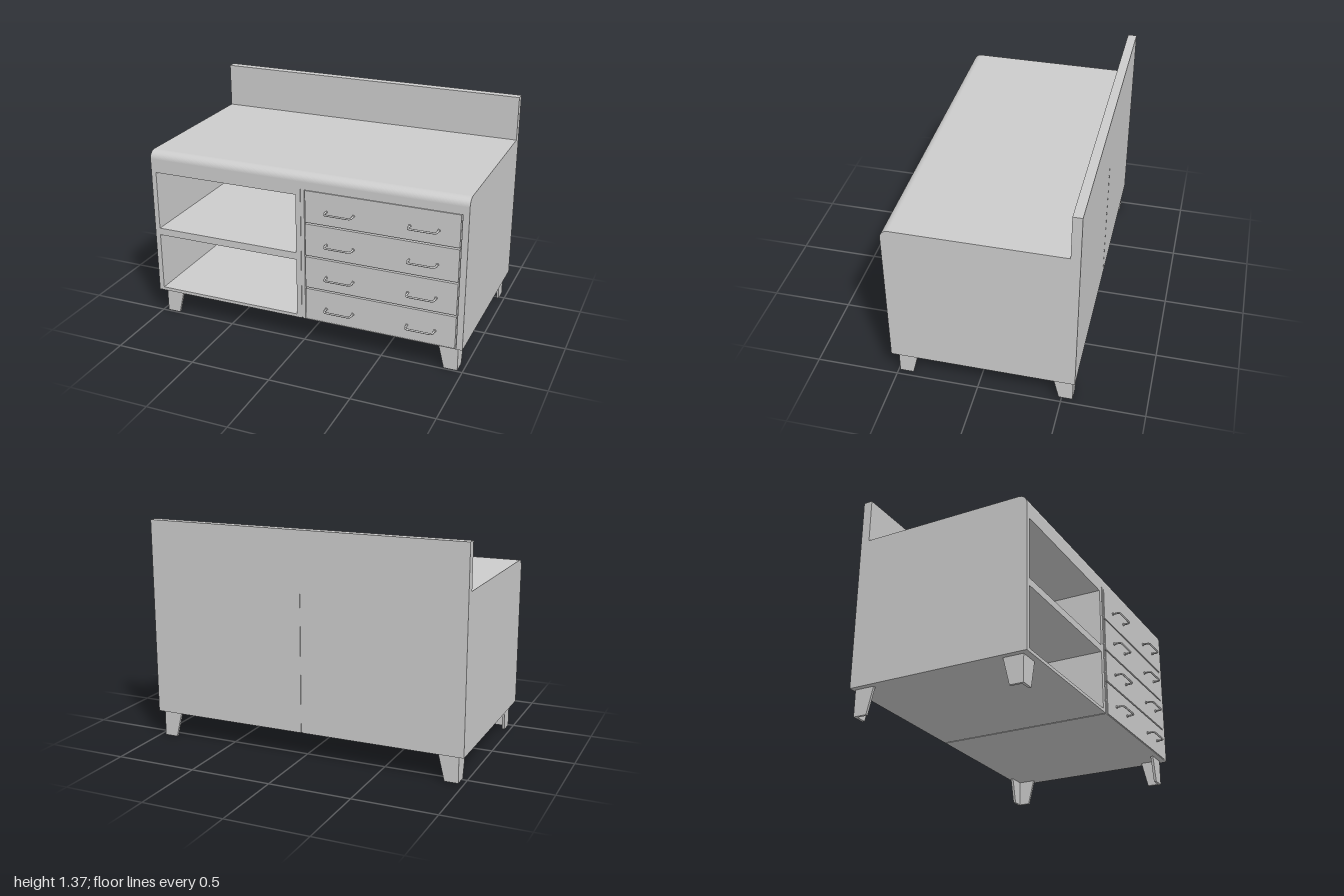
import * as THREE from 'three';

const FRONT = 0.525, BACK = -0.58, BASE = 0.16, DECK = 1.0;
const material = new THREE.MeshStandardMaterial({ color: 0xcccccc });

function add(parent, name, geometry, x = 0, y = 0, z = 0) {
  const mesh = new THREE.Mesh(geometry, material);
  mesh.name = name;
  mesh.position.set(x, y, z);
  parent.add(mesh);
  return mesh;
}

// Box given by its extents
function addBox(parent, name, x0, x1, y0, y1, z0, z1) {
  return add(parent, name, new THREE.BoxGeometry(x1 - x0, y1 - y0, z1 - z0),
    (x0 + x1) / 2, (y0 + y1) / 2, (z0 + z1) / 2);
}

function rectangle(path, x0, x1, y0, y1) {
  return path.moveTo(x0, y0).lineTo(x1, y0).lineTo(x1, y1).lineTo(x0, y1).closePath();
}

function extrude(shape, depth) {
  return new THREE.ExtrudeGeometry(shape, { depth, bevelEnabled: false, curveSegments: 8 });
}

// Worktop and upright back board share one side profile, swept along x
function worktopGeometry() {
  const r = 0.05, top = 1.095;
  const profile = new THREE.Shape();
  profile.moveTo(-FRONT, DECK);
  profile.lineTo(-BACK, DECK);
  profile.lineTo(-BACK, 1.37);
  profile.lineTo(0.525, 1.37);
  profile.lineTo(0.525, top);
  profile.lineTo(-FRONT + r, top);
  profile.absarc(-FRONT + r, top - r, r, Math.PI / 2, Math.PI, false);
  profile.closePath();
  return extrude(profile, 2).rotateY(Math.PI / 2).translate(-1, 0, 0);
}

// Left half: open cabinet with two compartments
function shelfCabinet() {
  const group = new THREE.Group();
  group.name = 'shelfCabinet';
  const frame = rectangle(new THREE.Shape(), -1, -0.004, BASE, DECK);
  for (const [y0, y1] of [[0.18, 0.545], [0.59, 0.96]]) {
    frame.holes.push(rectangle(new THREE.Path(), -0.968, -0.035, y0, y1));
  }
  add(group, 'shelfFrame', extrude(frame, FRONT - BACK - 0.02), 0, 0, BACK + 0.02);
  addBox(group, 'shelfBackPanel', -1, -0.004, BASE, DECK, BACK, BACK + 0.02);
  return group;
}

// Bow handle: rounded bar standing off the drawer, with a foot at each end
function addHandle(parent, x, y) {
  const handle = new THREE.Group();
  handle.name = 'handle';
  const w = 0.084, reach = 0.047, r = 0.02;
  const v = (px, pz) => new THREE.Vector3(px, 0, pz);
  const path = new THREE.CurvePath();
  path.add(new THREE.LineCurve3(v(-w, 0), v(-w, reach - r)));
  path.add(new THREE.QuadraticBezierCurve3(v(-w, reach - r), v(-w, reach), v(-w + r, reach)));
  path.add(new THREE.LineCurve3(v(-w + r, reach), v(w - r, reach)));
  path.add(new THREE.QuadraticBezierCurve3(v(w - r, reach), v(w, reach), v(w, reach - r)));
  path.add(new THREE.LineCurve3(v(w, reach - r), v(w, 0)));
  add(handle, 'handleBar', new THREE.TubeGeometry(path, 40, 0.006, 8));
  for (const side of [-1, 1]) {
    const foot = new THREE.CylinderGeometry(0.009, 0.009, 0.006, 12).rotateX(Math.PI / 2);
    add(handle, 'handleFoot', foot, side * w, 0, 0.003);
  }
  handle.position.set(x, y, FRONT + 0.003);
  parent.add(handle);
}

// Right half: carcass with four drawers
function drawerCabinet() {
  const group = new THREE.Group();
  group.name = 'drawerCabinet';
  const shell = rectangle(new THREE.Shape(), 0.004, 1, BASE, DECK);
  shell.holes.push(rectangle(new THREE.Path(), 0.02, 0.963, BASE + 0.004, DECK - 0.002));
  add(group, 'drawerShell', extrude(shell, FRONT - BACK), 0, 0, BACK);
  addBox(group, 'drawerCarcass', 0.01, 0.97, BASE + 0.002, DECK - 0.001, BACK, FRONT - 0.025);
  for (const [y0, y1] of [[0.167, 0.369], [0.379, 0.577], [0.587, 0.788], [0.798, 0.996]]) {
    addBox(group, 'drawerFront', 0.026, 0.956, y0, y1, FRONT - 0.025, FRONT + 0.003);
  }
  for (const y of [0.255, 0.465, 0.675, 0.883]) {
    for (const x of [0.243, 0.748]) addHandle(group, x, y);
  }
  return group;
}

// Angle leg: two tapered plates meeting at the outer corner (corner at +x +z)
function leg() {
  const group = new THREE.Group();
  group.name = 'leg';
  const t = 0.016;
  const plate = new THREE.Shape();
  plate.moveTo(0, 0).lineTo(0, BASE).lineTo(-0.122, BASE).lineTo(-0.083, 0).closePath();
  add(group, 'legFrontPlate', extrude(plate, t), 0, 0, -t);
  const side = extrude(plate, t).rotateY(-Math.PI / 2);
  add(group, 'legSidePlate', side);
  return group;
}

export function createModel() {
  const model = new THREE.Group();
  model.name = 'workbench';
  add(model, 'worktop', worktopGeometry());
  model.add(shelfCabinet(), drawerCabinet());

  // Thin joint strip between the two cabinets
  addBox(model, 'cabinetJoint', -0.006, 0.006, BASE + 0.004, DECK, BACK + 0.004, FRONT - 0.004);

  // Legs, turned a quarter for each corner
  const corners = [[0.967, 0.49], [0.967, -0.565], [-0.967, -0.565], [-0.967, 0.49]];
  corners.forEach(([x, z], i) => {
    const l = leg();
    l.position.set(x, 0, z);
    l.rotation.y = i * Math.PI / 2;
    model.add(l);
  });
  return model;
}
